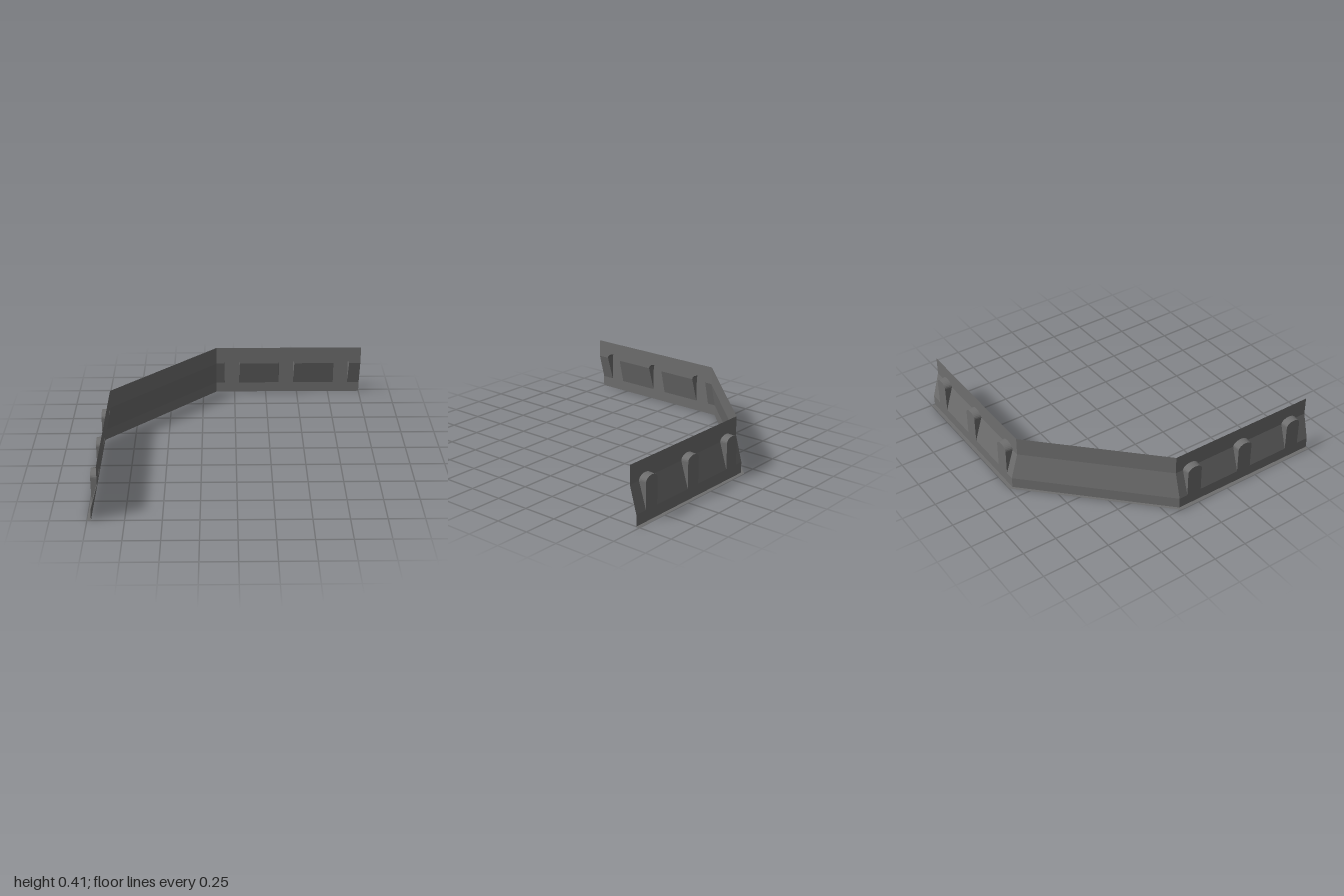
import * as THREE from 'three';

const BEND = -0.145, END = 1;              // where the straight walls start and stop
const FOOT = 0.08, CREASE = 0.27, TOP = 0.405;
const OUT = 0.027, IN = 0.08;              // depth of the foot and of the upper wall
const BAYS = [-0.022, 0.412, 0.848];
const HOLE = 0.063, FACE = 0.057;          // half widths of a bay at the wall and at its outer face

// Strip of quads between two matching rows of [x, y, z] points
function loft(rowA, rowB) {
  const pos = [];
  for (let i = 0; i < rowA.length - 1; i++) {
    const [a, b, c, d] = [rowA[i], rowA[i + 1], rowB[i + 1], rowB[i]];
    pos.push(...a, ...b, ...c, ...a, ...c, ...d);
  }
  const g = new THREE.BufferGeometry();
  g.setAttribute('position', new THREE.Float32BufferAttribute(pos, 3));
  g.computeVertexNormals();
  return g;
}

// Half-ellipse over a bay, left to right
function arch(cx, half, rise) {
  return Array.from({ length: 13 }, (_, i) => {
    const t = Math.PI * (1 - i / 12);
    return [cx + half * Math.cos(t), CREASE + rise * Math.sin(t)];
  });
}

const flat = (pts) => new THREE.ShapeGeometry(new THREE.Shape(pts.map(p => new THREE.Vector2(...p))));

export function createModel() {
  const model = new THREE.Group();
  model.name = 'angledWall';
  const grey = new THREE.MeshStandardMaterial({ color: 0x6e6e6e, flatShading: true, side: THREE.DoubleSide });
  grey.name = 'concreteGrey';
  const add = (parent, name, geometry) => {
    const m = new THREE.Mesh(geometry, grey);
    m.name = name;
    parent.add(m);
    return m;
  };

  // Straight wall with three arched bays
  const wall = new THREE.Group();
  wall.name = 'backWall';
  const section = (u, pts) => pts.map(([d, y]) => [u, y, -1 + d]);
  const foot = [[0, 0], [OUT, 0], [OUT, FOOT]];
  add(wall, 'footAndFlange', loft(section(BEND, foot), section(END, foot)));

  // Sloped panels between the bays
  const edges = [[BEND, BEND]];
  BAYS.forEach(c => edges.push([c - FACE, c - HOLE], [c + FACE, c + HOLE]));
  edges.push([END, END]);
  for (let i = 0; i < edges.length; i += 2) {
    const rows = [edges[i], edges[i + 1]].map(([lo, hi]) => [[lo, FOOT, -1 + OUT], [hi, CREASE, -1 + IN]]);
    add(wall, 'slopedPanel', loft(rows[0], rows[1]));
  }

  // Upright upper panel, notched by the arch tops
  const outline = [[BEND, CREASE]];
  BAYS.forEach(c => outline.push(...arch(c, HOLE, 0.04)));
  outline.push([END, CREASE], [END, TOP], [BEND, TOP]);
  add(wall, 'upperPanel', flat(outline).translate(0, 0, -1 + IN));

  // Bays: upright outer face and the surround joining it to the wall
  BAYS.forEach(c => {
    const front = [[c - FACE, FOOT], ...arch(c, FACE, 0.037), [c + FACE, FOOT]];
    const rear = [[c - FACE, FOOT], ...arch(c, HOLE, 0.04), [c + FACE, FOOT]];
    add(wall, 'bayFace', flat(front).translate(0, 0, -1 + OUT));
    add(wall, 'baySurround', loft(
      front.map(([x, y]) => [x, y, -1 + OUT]),
      rear.map(([x, y]) => [x, y, -1 + IN - (y <= FOOT ? IN - OUT : 0)])));
  });
  model.add(wall);

  // Side wall: the same wall with x and z swapped
  const side = wall.clone();
  side.name = 'sideWall';
  side.scale.z = -1;
  side.rotation.y = -Math.PI / 2;
  model.add(side);

  // Plain diagonal wall joining the two
  const profile = [...foot, [IN, CREASE], [IN, TOP]];
  add(model, 'diagonalWall', loft(
    profile.map(([d, y]) => [-1 + d, y, BEND]),
    section(BEND, profile)));
  return model;
}
